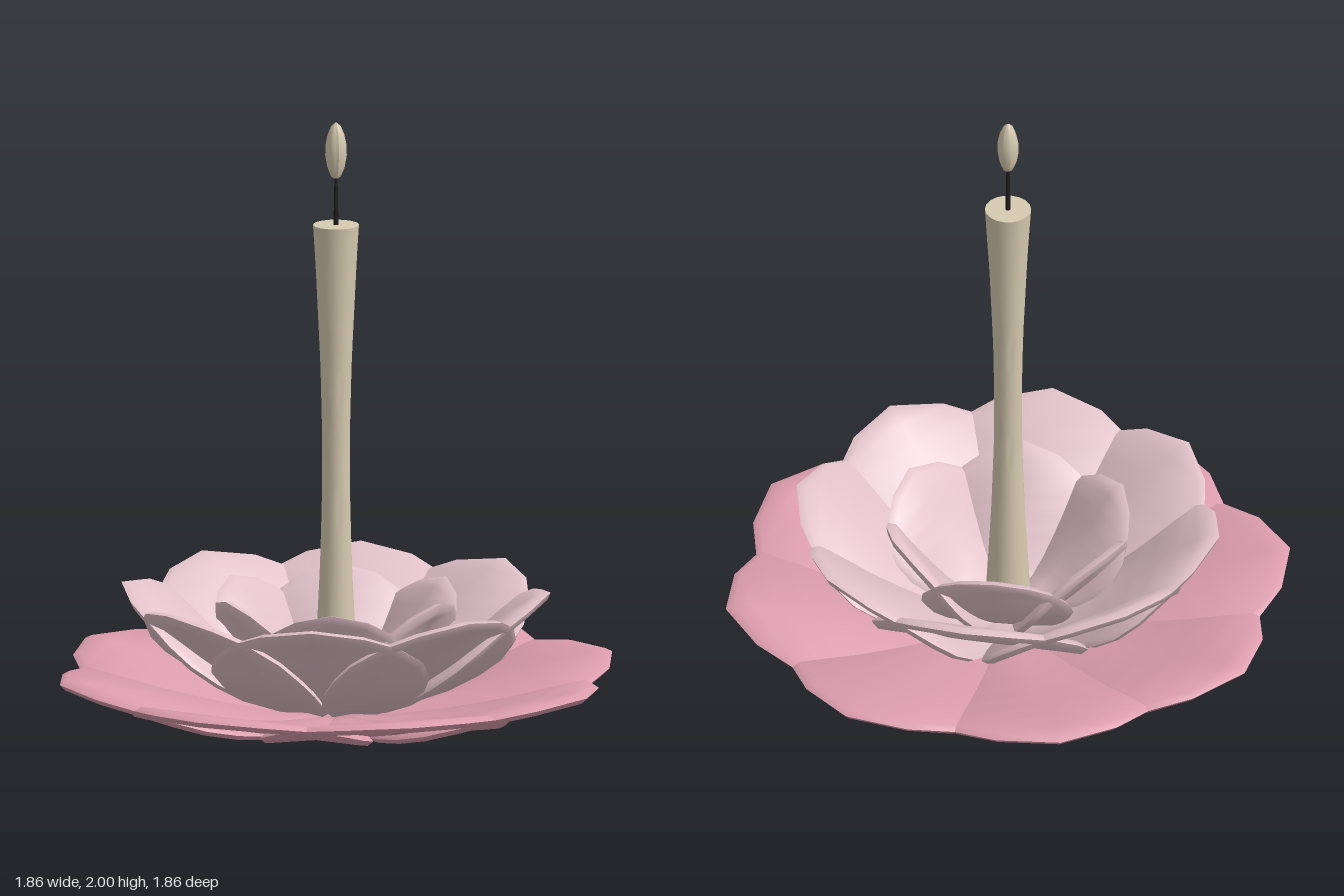
import * as THREE from 'three';
import { toCreasedNormals } from 'three/addons/utils/BufferGeometryUtils.js';

const mat = (name, color) => {
  const m = new THREE.MeshStandardMaterial({ color });
  m.name = name;
  return m;
};

// Petal outline: [fraction along the petal, half width as a fraction of its length]
const OUTLINE = [
  [0, 0], [0.08, 0.08], [0.2, 0.2], [0.33, 0.32], [0.46, 0.4], [0.59, 0.435],
  [0.71, 0.42], [0.83, 0.335], [0.93, 0.21], [1, 0],
];

// A thick flat leaf bent along a side profile of [radius, height] points
function petalGeometry(profile, thickness) {
  const curve = new THREE.CatmullRomCurve3(profile.map(([r, y]) => new THREE.Vector3(r, y, 0)));
  const length = curve.getLength();
  const inset = 0.022 / length;
  const pos = [], index = [];
  const place = (s, w, offset) => {
    const p = curve.getPointAt(s), t = curve.getTangentAt(s);
    pos.push(p.x - t.y * offset, p.y + t.x * offset, w * length);
  };
  for (const [s, w] of OUTLINE) {
    const si = 0.5 + (s - 0.5) * (1 - 2 * inset);
    const wi = w * (1 - 2 * inset);
    const h = thickness / 2;
    place(s, -w, 0);
    for (const k of [-1, 0, 1]) place(si, k * wi, h);
    place(s, w, 0);
    for (const k of [1, 0, -1]) place(si, k * wi, -h);
  }
  const n = 8;
  for (let i = 0; i < OUTLINE.length - 1; i++) {
    for (let j = 0; j < n; j++) {
      const a = i * n + j, b = i * n + (j + 1) % n;
      index.push(a, b, b + n, a, b + n, a + n);
    }
  }
  const g = new THREE.BufferGeometry();
  g.setAttribute('position', new THREE.Float32BufferAttribute(pos, 3));
  g.setIndex(index);
  return toCreasedNormals(g, 0.9);
}

// A ring of equal petals around the candle
function petalRing(name, profile, count, startDeg, material) {
  const ring = new THREE.Group();
  ring.name = name;
  const geometry = petalGeometry(profile, 0.032);
  for (let i = 0; i < count; i++) {
    const petal = new THREE.Mesh(geometry, material);
    petal.name = 'petal';
    petal.rotation.y = THREE.MathUtils.degToRad(startDeg + i * 360 / count);
    ring.add(petal);
  }
  return ring;
}

// Straight cylinder whose straight side lines lean round, giving a narrow waist
function twistedCandle(radius, y0, y1, twist) {
  const g = new THREE.CylinderGeometry(radius, radius, y1 - y0, 18, 20);
  const p = g.attributes.position;
  for (let i = 0; i < p.count; i++) {
    const x = p.getX(i), z = p.getZ(i);
    const t = p.getY(i) / (y1 - y0) + 0.5;
    const bx = x * Math.cos(twist) + z * Math.sin(twist);
    const bz = -x * Math.sin(twist) + z * Math.cos(twist);
    p.setX(i, bx + (x - bx) * t);
    p.setZ(i, bz + (z - bz) * t);
  }
  g.translate(0, (y0 + y1) / 2, 0);
  return toCreasedNormals(g, 0.6);
}

// Egg-shaped flame with shallow vertical ribs
function flameGeometry() {
  const pts = [[0, 1.81], [0.016, 1.82], [0.028, 1.85], [0.035, 1.89], [0.034, 1.925],
    [0.027, 1.96], [0.015, 1.988], [0, 2]].map(([r, y]) => new THREE.Vector2(r, y));
  const segs = 20;
  const g = new THREE.LatheGeometry(pts, segs);
  const p = g.attributes.position;
  for (let i = 0; i < p.count; i++) {
    const k = Math.floor(i / pts.length) % 2 ? 0.88 : 1;
    p.setX(i, p.getX(i) * k);
    p.setZ(i, p.getZ(i) * k);
  }
  g.computeVertexNormals();
  return g;
}

export function createModel() {
  const model = new THREE.Group();
  model.name = 'lotusCandle';
  const rose = mat('rose pink', 0xdc9dae);
  const blush = mat('pale blush', 0xe2c2ca);
  const wax = mat('cream wax', 0xd6cab0);
  const black = mat('wick black', 0x1e1b1b);

  const add = (name, geometry, material) => {
    const m = new THREE.Mesh(geometry, material);
    m.name = name;
    model.add(m);
  };

  // Flower: wide saucer, open bowl and inner cup
  model.add(petalRing('outerPetals',
    [[0, 0.017], [0.2, 0.028], [0.5, 0.085], [0.76, 0.158], [0.93, 0.188]], 8, 0, rose));
  model.add(petalRing('middlePetals',
    [[0, 0.06], [0.18, 0.095], [0.38, 0.22], [0.58, 0.385], [0.7, 0.457]], 8, 22.5, blush));
  model.add(petalRing('innerPetals',
    [[0, 0.07], [0.13, 0.12], [0.26, 0.26], [0.35, 0.39], [0.405, 0.45]], 6, 12, blush));

  // Candle, wick and flame
  add('candle', twistedCandle(0.075, 0.1, 1.66, THREE.MathUtils.degToRad(106)), wax);
  const wick = new THREE.CylinderGeometry(0.005, 0.009, 0.19, 8);
  wick.translate(0, 1.735, 0);
  add('wick', wick, black);
  add('flame', flameGeometry(), wax);
  return model;
}
